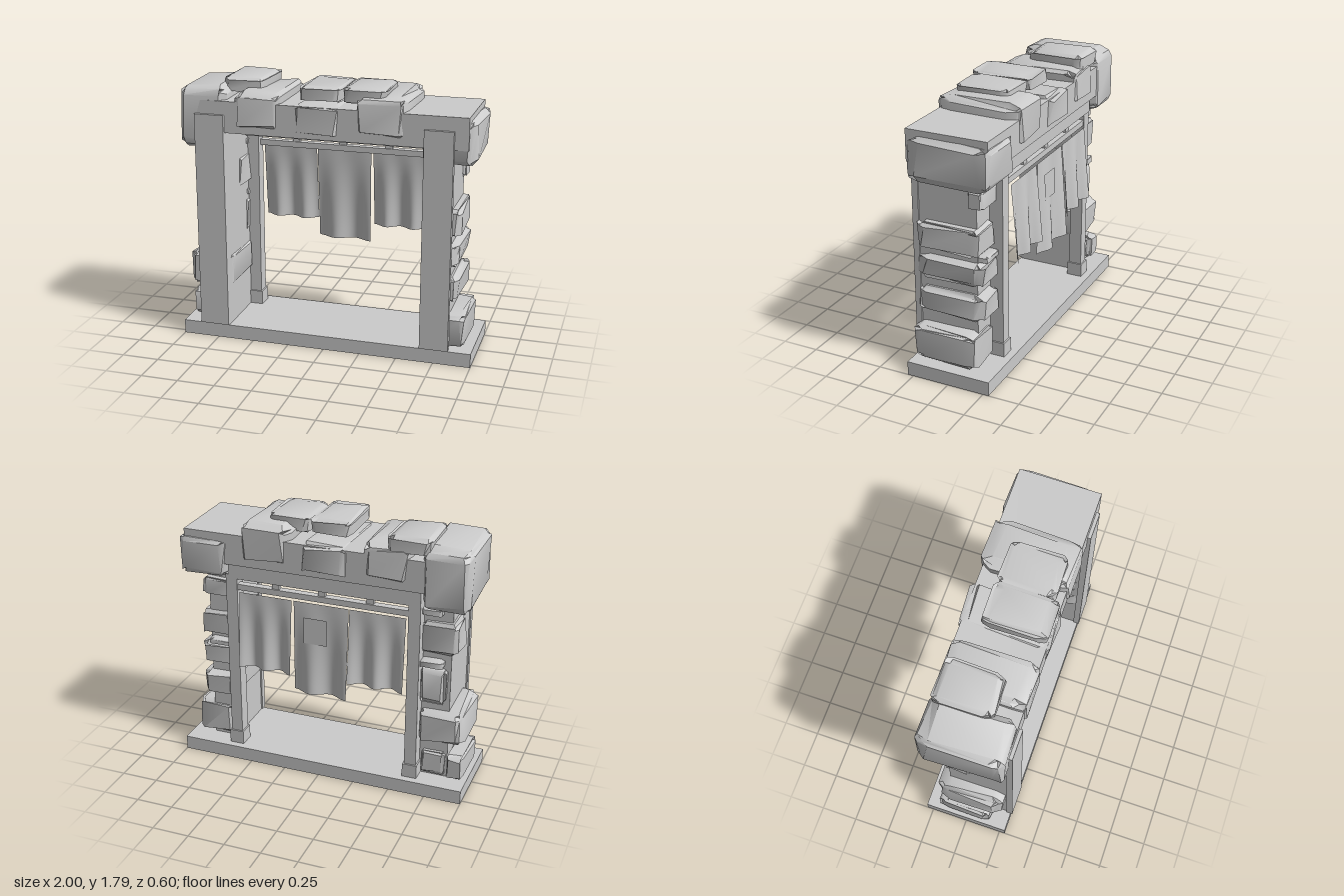
import * as THREE from 'three';
import { toCreasedNormals } from 'three/addons/utils/BufferGeometryUtils.js';

const grey = new THREE.MeshStandardMaterial({ color: 0xcccccc });
const cloth = new THREE.MeshStandardMaterial({ color: 0xcccccc, side: THREE.DoubleSide });

function add(group, name, geometry, material = grey) {
  const mesh = new THREE.Mesh(geometry, material);
  mesh.name = name;
  group.add(mesh);
  return mesh;
}

// Box given by its limits on each axis
function block(group, name, x0, x1, y0, y1, z0, z1) {
  const g = new THREE.BoxGeometry(Math.abs(x1 - x0), y1 - y0, z1 - z0);
  g.translate((x0 + x1) / 2, (y0 + y1) / 2, (z0 + z1) / 2);
  return add(group, name, g);
}

// Repeatable value in -1..1 from a grid corner and a seed
function hash(x, y, z, seed) {
  const s = Math.sin(x * 12.99 + y * 78.23 + z * 37.72 + seed * 9.17) * 43758.5453;
  return (s - Math.floor(s)) * 2 - 1;
}

// Rough hewn stone: box with bevelled edges and slightly shifted corners
let seed = 0;
function stone(group, name, x0, x1, y0, y1, z0, z1) {
  seed++;
  const g = new THREE.BoxGeometry(2, 2, 2, 3, 3, 3);
  const p = g.attributes.position;
  const size = [x1 - x0, y1 - y0, z1 - z0];
  const mid = [(x0 + x1) / 2, (y0 + y1) / 2, (z0 + z1) / 2];
  const bevel = Math.min(0.025, Math.min(...size) * 0.15);
  for (let i = 0; i < p.count; i++) {
    const c = [p.getX(i), p.getY(i), p.getZ(i)].map((v) => Math.round(v * 3) / 3);
    const outer = c.filter((v) => Math.abs(v) > 0.9).length;
    const out = c.map((v, k) => {
      const onFace = Math.abs(v) > 0.9;
      const half = size[k] / 2;
      let r = onFace ? half : half * 0.72;
      if (outer > 1 && onFace) r -= bevel * (outer - 1) * 0.8;
      const n = hash(c[0] + k * 3, c[1], c[2], seed);
      r += onFace ? (n - 0.4) * bevel * 0.45 : n * half * 0.1;
      return mid[k] + Math.sign(v) * r;
    });
    p.setXYZ(i, ...out);
  }
  return add(group, name, toCreasedNormals(g, 0.6));
}

// Hanging cloth whose pleats deepen toward the hem
function curtain(group, x0, x1, bottom, folds) {
  const top = 1.25;
  const g = new THREE.PlaneGeometry(x1 - x0, top - bottom, 32, 10);
  g.translate((x0 + x1) / 2, (top + bottom) / 2, 0);
  const p = g.attributes.position;
  for (let i = 0; i < p.count; i++) {
    const u = (p.getX(i) - x0) / (x1 - x0);
    const drop = (top - p.getY(i)) / (top - bottom);
    const wave = 0.5 + 0.5 * Math.cos(u * Math.PI * 2 * folds);
    p.setZ(i, -0.236 - 0.05 * drop * wave);
  }
  g.computeVertexNormals();
  add(group, 'curtain', g, cloth);
}

export function createModel() {
  const model = new THREE.Group();
  model.name = 'stoneGateway';
  seed = 0;

  // Floor slab and lintel
  block(model, 'floorSlab', -1, 1, 0, 0.095, -0.29, 0.29);
  block(model, 'lintel', -0.94, 0.94, 1.45, 1.66, -0.27, 0.28);

  // Pillars, front pilasters and rear door frame, mirrored
  for (const s of [-1, 1]) {
    const side = new THREE.Group();
    side.name = s > 0 ? 'leftPillar' : 'rightPillar';
    model.add(side);
    const shift = s > 0 ? 0 : 0.02;
    block(side, 'pillarCore', s * 0.67, s * (0.84 + shift), 0.095, 1.46, -0.14, 0.28);
    block(side, 'pilaster', s * (0.66 + shift / 2), s * (0.85 + shift), 0.1, 1.57, 0.26, 0.303);
    block(side, 'framePost', s * 0.59, s * 0.67, 0.095, 1.34, -0.23, -0.14);
    block(side, 'postFoot', s * 0.58, s * 0.68, 0.095, 0.19, -0.24, -0.13);
  }

  // Rear frame head, curtain rail and its hangers
  block(model, 'frameHead', -0.67, 0.67, 1.34, 1.45, -0.235, -0.1);
  block(model, 'curtainRail', -0.59, 0.59, 1.26, 1.3, -0.225, -0.175);
  for (const x of [-0.33, 0, 0.32]) block(model, 'railHanger', x - 0.025, x + 0.025, 1.3, 1.34, -0.215, -0.185);

  // Curtains and a sewn patch
  curtain(model, -0.58, -0.2, 0.735, 2);
  curtain(model, -0.195, 0.185, 0.61, 1.5);
  curtain(model, 0.2, 0.57, 0.725, 2);
  const patch = add(model, 'curtainPatch', new THREE.PlaneGeometry(0.16, 0.18), cloth);
  patch.position.set(0.03, 1.06, -0.256);
  patch.rotation.x = 0.03;

  // Corner stones and stones draped over the lintel
  const capStones = [
    [-0.99, -0.67, 1.33, 1.75, -0.285, 0.285],
    [0.63, 0.985, 1.335, 1.63, -0.295, 0.275],
    [-0.61, -0.29, 1.48, 1.73, -0.285, 0.295],
    [-0.21, 0.13, 1.46, 1.68, -0.295, 0.295],
    [0.2, 0.55, 1.48, 1.75, -0.285, 0.295],
    [-0.74, -0.44, 1.68, 1.79, -0.26, 0.13],
    [-0.17, 0.11, 1.69, 1.79, -0.15, 0.28],
    [0.11, 0.4, 1.68, 1.79, -0.14, 0.24],
  ];
  for (const c of capStones) stone(model, 'capStone', ...c);

  // Stones set into the pillars
  const pillarStones = [
    [0.68, 0.96, 0.1, 0.35, -0.175, 0.275],
    [0.645, 0.895, 0.42, 0.6, -0.2, 0.27],
    [0.645, 0.895, 0.66, 0.82, -0.2, 0.27],
    [0.655, 0.9, 0.86, 1.05, -0.185, 0.27],
    [0.67, 0.83, 0.815, 0.855, -0.205, -0.1],
    [0.64, 0.87, 1.17, 1.3, -0.19, -0.08],
    [-0.98, -0.86, 0.1, 0.28, -0.2, 0.17],
    [-0.85, -0.68, 0.1, 0.29, -0.175, -0.05],
    [-0.965, -0.65, 0.35, 0.6, -0.2, 0.26],
    [-0.84, -0.66, 0.64, 0.9, -0.19, -0.08],
    [-0.82, -0.66, 0.91, 0.96, -0.21, -0.1],
    [-0.91, -0.65, 0.99, 1.23, -0.19, 0.05],
    [-0.8, -0.66, 1.27, 1.32, -0.2, -0.1],
  ];
  for (const c of pillarStones) stone(model, 'pillarStone', ...c);

  return model;
}
